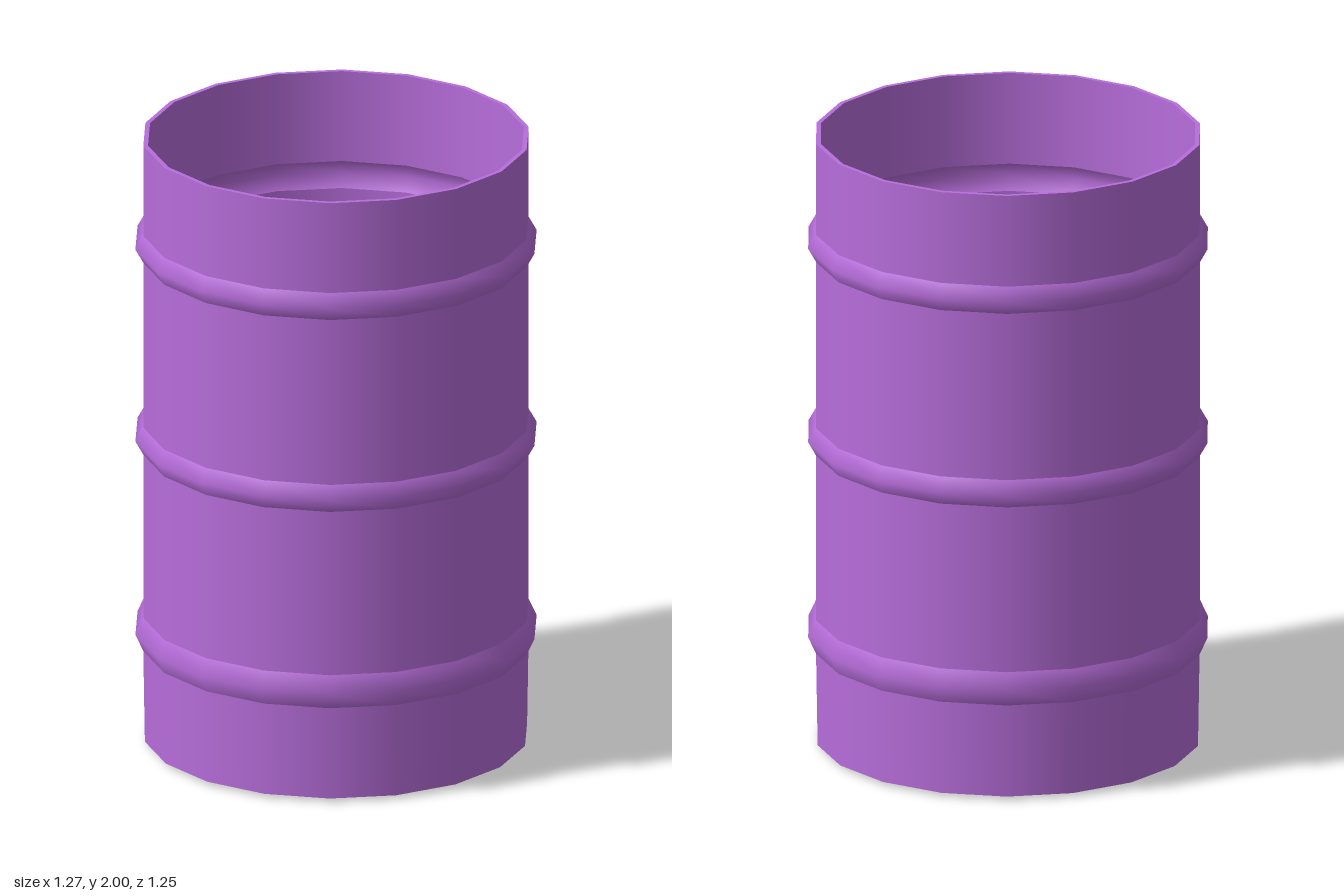
import * as THREE from 'three';
import { mergeGeometries } from 'three/addons/utils/BufferGeometryUtils.js';

const SIDES = 18;
const OUTER = 0.61, INNER = 0.595, RIB = 0.025;
// [lower edge, crest, upper edge] of each rolled rib
const RIBS = [[0.315, 0.37, 0.425], [0.97, 1.015, 1.06], [1.61, 1.655, 1.7]];

// One smooth band of revolution, with a corner on the x axis
function band(points) {
  return new THREE.LatheGeometry(points.map(([r, y]) => new THREE.Vector2(r, y)), SIDES, Math.PI / 2);
}

// Wall with ribs as separate bands, so the rib edges stay crisp
function wallBands(radius, bottomRadius, bottom, top, inward) {
  const runs = [];
  let start = [bottomRadius, bottom];
  for (const [low, mid, high] of RIBS) {
    runs.push([start, [radius, low]]);
    runs.push([[radius, low], [radius + RIB, mid], [radius, high]]);
    start = [radius, high];
  }
  runs.push([start, [radius, top]]);
  return runs.map(run => band(inward ? run.reverse() : run));
}

export function createModel() {
  const group = new THREE.Group();
  group.name = 'drum';
  const material = new THREE.MeshStandardMaterial({ color: 0xb86edc });
  const add = (name, bands) => {
    const mesh = new THREE.Mesh(mergeGeometries(bands), material);
    mesh.name = name;
    group.add(mesh);
  };

  add('outerWall', wallBands(OUTER, 0.605, 0.012, 2, false));
  add('innerWall', wallBands(INNER, 0.59, 0.03, 2, true));
  add('rim', [band([[OUTER, 2], [INNER, 2]])]);
  add('floor', [band([[0.59, 0.03], [0, 0.03]])]);
  // Slightly bulged underside
  add('underside', [band([[0, 0], [0.33, 0.002], [0.605, 0.012]])]);
  return group;
}
